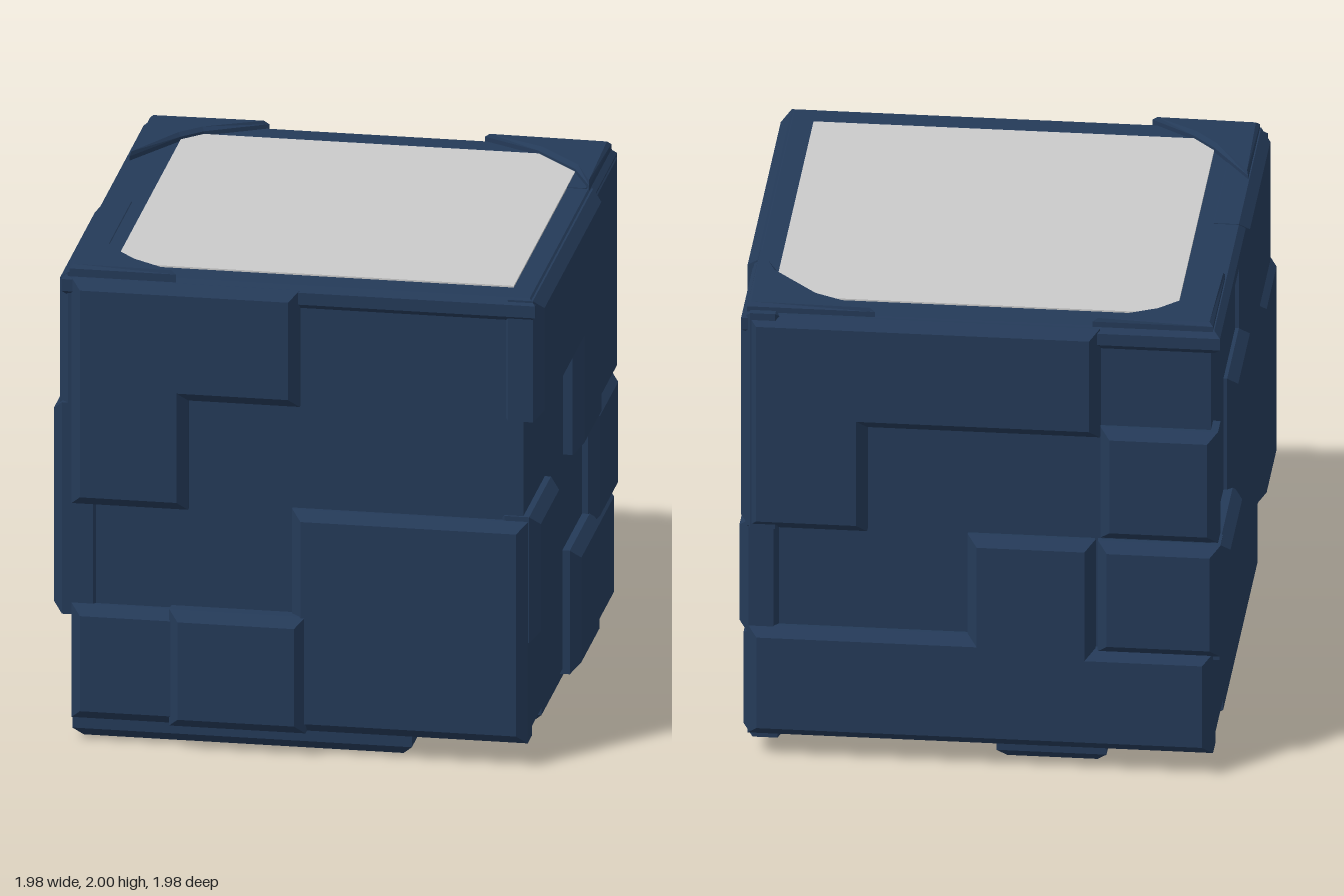
import * as THREE from 'three';

const navy = new THREE.MeshStandardMaterial({ color: 0x243a58 });
navy.name = 'navy';
const paleGrey = new THREE.MeshStandardMaterial({ color: 0xcacaca });
paleGrey.name = 'paleGrey';

// Rectangle outline from two corners
const rect = (u0, v0, u1, v1) => [[u0, v0], [u1, v0], [u1, v1], [u0, v1]];

// Chamfered plate whose outer face lies at distance h along the local z axis
function plate(name, points, h, { material = navy, bevel = 0.04, depth = 0.1 } = {}) {
  const shape = new THREE.Shape(points.map(([u, v]) => new THREE.Vector2(u, v)));
  const geometry = new THREE.ExtrudeGeometry(shape, {
    depth,
    bevelEnabled: bevel > 0,
    bevelThickness: bevel,
    bevelSize: bevel,
    bevelOffset: -bevel,
    bevelSegments: 1,
  });
  geometry.translate(0, 0, h - bevel - depth);
  const mesh = new THREE.Mesh(geometry, material);
  mesh.name = name;
  return mesh;
}

// One side of the cube: plates drawn flat, then turned to face outward
function side(name, rx, ry, plates) {
  const group = new THREE.Group();
  group.name = name;
  group.rotation.set(rx, ry, 0);
  plates.forEach(([points, h, options], i) => group.add(plate(`${name}Panel${i + 1}`, points, h, options)));
  return group;
}

export function createModel() {
  const model = new THREE.Group();
  model.name = 'panelledCube';

  // Solid core
  const core = new THREE.Mesh(new THREE.BoxGeometry(1.82, 1.83, 1.82), navy);
  core.name = 'core';
  core.position.set(-0.01, 1.015, 0);
  model.add(core);

  // Front: u = x
  model.add(side('front', 0, 0, [
    [[[-0.92, 1.0], [-0.45, 1.0], [-0.45, 1.46], [0, 1.46], [0, 1.95], [-0.92, 1.95]], 0.965],
    [rect(-0.92, 0.1, -0.4, 0.58), 0.965],
    [rect(-0.52, 0.1, 0.03, 0.59), 1.0],
    [rect(-0.03, 0.1, 0.92, 1.03), 0.965],
  ]));

  // Right: u = -z
  model.add(side('right', 0, Math.PI / 2, [
    [[[-0.92, 1.45], [-0.01, 1.45], [-0.01, 1.0], [0.46, 1.0], [0.46, 1.96], [-0.92, 1.96]], 0.98],
    [rect(0.43, 1.02, 0.96, 1.97), 0.955],
    [rect(-0.92, 0.52, -0.42, 1.05), 0.965],
    [rect(-0.02, 0.08, 0.47, 0.6), 0.97],
    [rect(0.43, 0.54, 0.93, 1.04), 0.965],
    [rect(0.43, 0.08, 0.92, 0.56), 0.95],
  ]));

  // Back: u = -x
  model.add(side('back', 0, Math.PI, [
    [[[-0.93, 1.02], [-0.45, 1.02], [-0.45, 1.48], [0.48, 1.48], [0.48, 1.96], [-0.93, 1.96]], 0.98],
    [rect(0.48, 1.03, 0.95, 1.52), 0.965],
    [rect(0.47, 0.53, 0.96, 1.02), 0.97],
    [[[-0.93, 0.1], [0.93, 0.1], [0.93, 0.54], [0.46, 0.54], [0.46, 1.02], [-0.05, 1.02], [-0.05, 0.58], [-0.93, 0.58]], 0.965],
  ]));

  // Left: u = z
  model.add(side('left', 0, -Math.PI / 2, [
    [[[-0.42, 0.53], [0.92, 0.53], [0.92, 1.97], [0.04, 1.97], [0.04, 1.51], [-0.42, 1.51]], 0.975],
    [rect(0.45, 0.53, 0.92, 1.42), 1.0],
    [rect(-0.92, 0.51, -0.38, 1.02), 0.995],
  ]));

  // Top rim with three raised corners and a pale inset plate: u = x, v = -z
  const corner = { bevel: 0.015, depth: 0.06 };
  model.add(side('top', -Math.PI / 2, 0, [
    [rect(-0.96, -0.93, 0.95, 0.95), 1.967, { bevel: 0.025, depth: 0.05 }],
    [[[0.42, 0.93], [0.66, 0.8], [0.84, 0.61], [0.93, 0.42], [0.93, 0.93]], 2.0, corner],
    [[[-0.93, 0.45], [-0.77, 0.72], [-0.69, 0.8], [-0.45, 0.93], [-0.93, 0.93]], 2.0, corner],
    [[[-0.93, -0.92], [-0.5, -0.92], [-0.68, -0.79], [-0.77, -0.69], [-0.93, -0.45]], 2.0, corner],
    [[[-0.77, -0.69], [-0.68, -0.79], [0.84, -0.79], [0.84, 0.61], [0.66, 0.8], [-0.69, 0.8], [-0.77, 0.72]], 1.974,
      { material: paleGrey, bevel: 0, depth: 0.009 }],
  ]));

  // Underside with notched corners: u = x, v = z
  model.add(side('underside', Math.PI / 2, 0, [
    [[[-0.92, -0.43], [-0.5, -0.43], [-0.5, -0.88], [-0.06, -0.88], [-0.06, -0.42], [0.89, -0.42],
      [0.89, 0.44], [0.45, 0.44], [0.45, 0.91], [-0.92, 0.91]], -0.01],
    [rect(-0.58, 0.15, -0.12, 0.6), 0, { bevel: 0.01, depth: 0.02 }],
  ]));

  return model;
}
